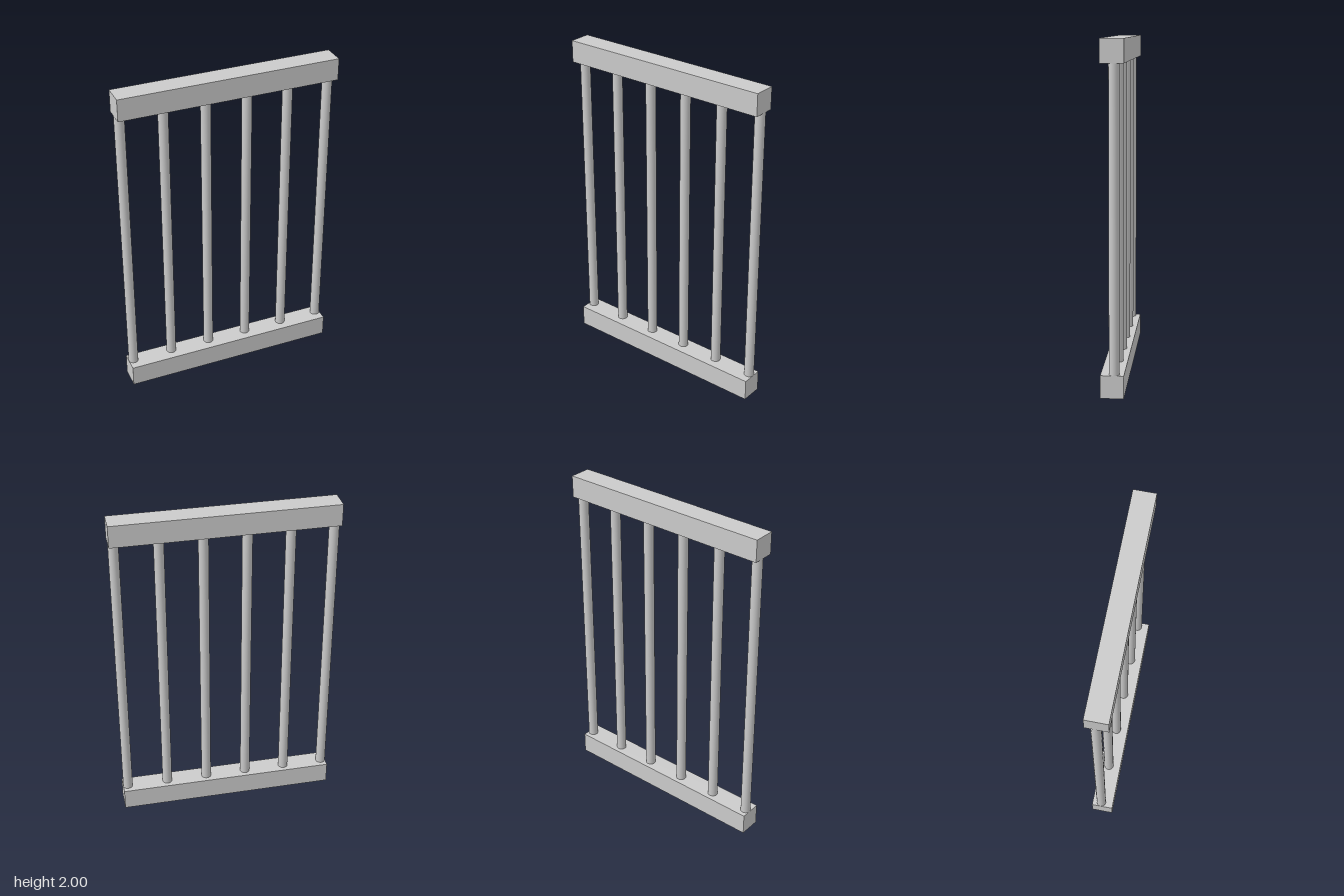
import * as THREE from 'three';

export function createModel() {
  const group = new THREE.Group();
  const material = new THREE.MeshStandardMaterial({ color: 0xcccccc });
  const width = 1.33, height = 2, rail = 0.133;
  const barCount = 6, barRadius = 0.03, barSpacing = 0.254;

  // Square rails at the bottom and top
  const railGeometry = new THREE.BoxGeometry(width, rail, rail);
  for (const [name, y] of [['bottomRail', rail / 2], ['topRail', height - rail / 2]]) {
    const mesh = new THREE.Mesh(railGeometry, material);
    mesh.name = name;
    mesh.position.y = y;
    group.add(mesh);
  }

  // Round upright bars between the rails, set slightly behind the centre
  const barGeometry = new THREE.CylinderGeometry(barRadius, barRadius, height - 2 * rail, 24);
  for (let i = 0; i < barCount; i++) {
    const bar = new THREE.Mesh(barGeometry, material);
    bar.name = `bar${i + 1}`;
    bar.position.set((i - (barCount - 1) / 2) * barSpacing, height / 2, -0.01);
    group.add(bar);
  }

  return group;
}
